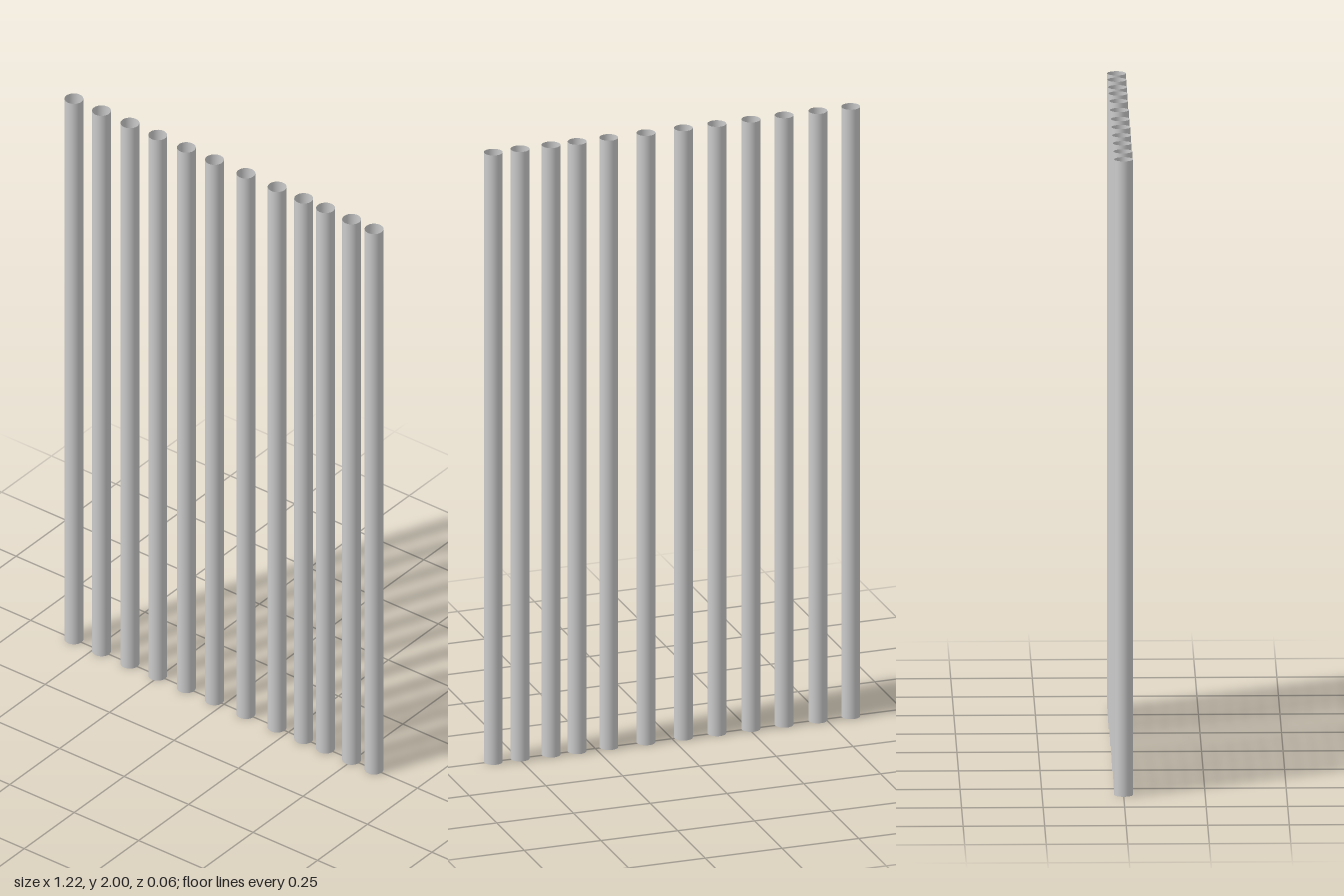
import * as THREE from 'three';

export function createModel() {
  const group = new THREE.Group();
  group.name = 'barScreen';
  const material = new THREE.MeshStandardMaterial({ color: 0xcccccc, side: THREE.DoubleSide });

  // One open-ended tube, shared by every upright
  const radius = 0.029, height = 2;
  const tube = new THREE.CylinderGeometry(radius, radius, height, 32, 1, true);

  // Unevenly spaced row of uprights along x
  const positions = [-0.582, -0.475, -0.365, -0.257, -0.146, -0.037, 0.085, 0.206, 0.309, 0.394, 0.495, 0.582];
  positions.forEach((x, i) => {
    const bar = new THREE.Mesh(tube, material);
    bar.name = `verticalBar${i + 1}`;
    bar.position.set(x, height / 2, 0);
    group.add(bar);
  });
  return group;
}
